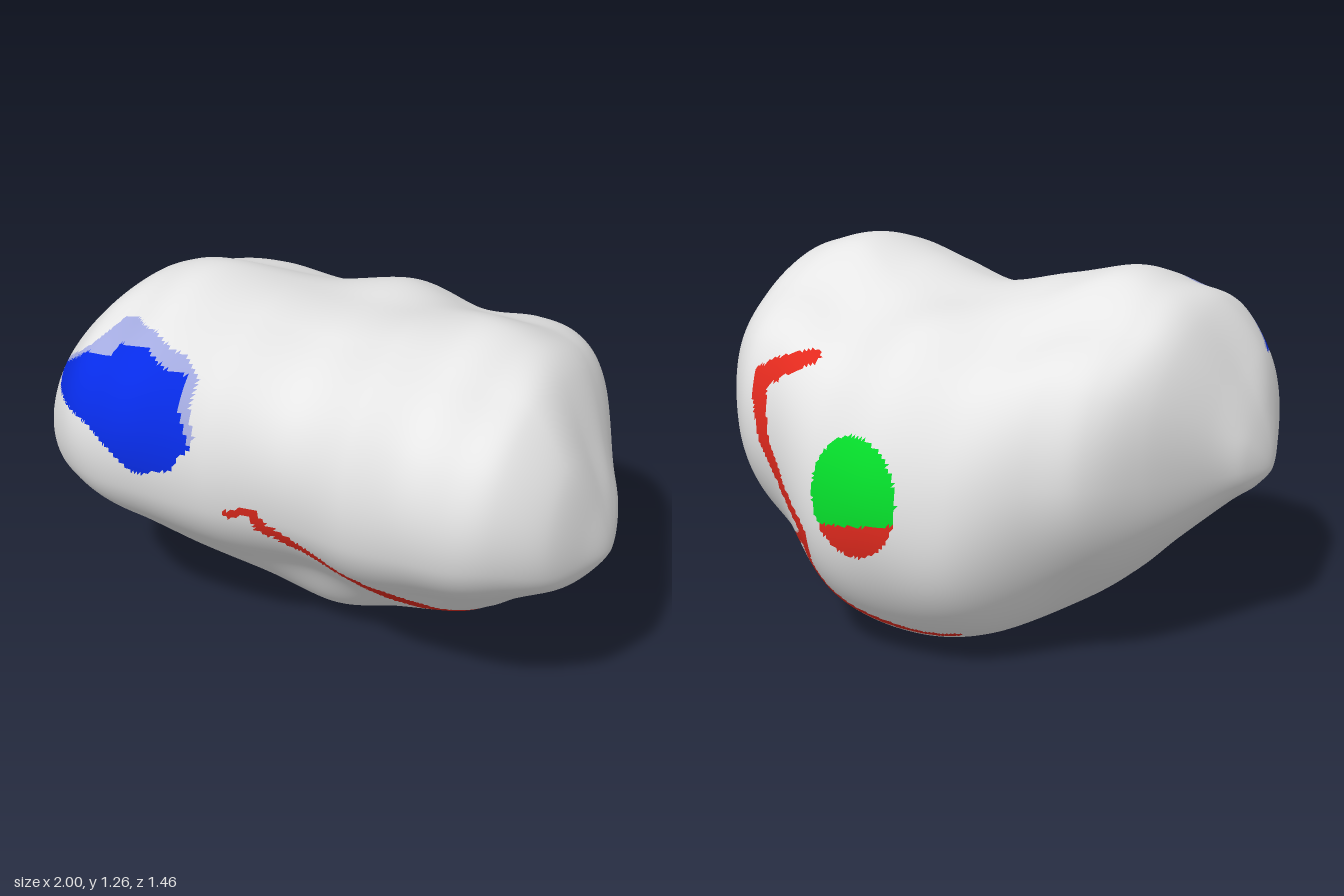
import * as THREE from 'three';

// Half of the body as cross-sections along x: [x, centre z, centre y, 12 radii].
// Radii run from the front (+z) over the top, the back and the bottom.
const SECTIONS = [
  [0, -0.08, 0.62, 0.655, 0.71, 0.61, 0.535, 0.57, 0.62, 0.65, 0.66, 0.65, 0.61, 0.59, 0.545],
  [0.25, -0.05, 0.65, 0.70, 0.735, 0.63, 0.535, 0.505, 0.57, 0.62, 0.66, 0.64, 0.58, 0.55, 0.57],
  [0.48, 0.08, 0.70, 0.63, 0.68, 0.60, 0.56, 0.515, 0.615, 0.63, 0.61, 0.58, 0.535, 0.48, 0.50],
  [0.64, 0.10, 0.70, 0.60, 0.645, 0.56, 0.53, 0.51, 0.585, 0.575, 0.52, 0.46, 0.42, 0.41, 0.46],
  [0.77, 0.12, 0.70, 0.53, 0.58, 0.51, 0.45, 0.44, 0.46, 0.42, 0.38, 0.33, 0.29, 0.31, 0.39],
  [0.9, 0.20, 0.65, 0.32, 0.38, 0.375, 0.29, 0.28, 0.27, 0.23, 0.19, 0.15, 0.13, 0.15, 0.22],
  [0.97, 0.22, 0.65, 0.15, 0.16, 0.15, 0.13, 0.13, 0.14, 0.13, 0.11, 0.09, 0.08, 0.09, 0.12],
  [1, 0.23, 0.63, 0, 0, 0, 0, 0, 0, 0, 0, 0, 0, 0, 0],
];
const LAST = SECTIONS.length - 1, STEPS = 18, AROUND = 270;

// Painted bands as paths of [x, y, z, half width]
const BANDS = [
  [[-0.21, 0.66, 0.56, 0.010], [-0.12, 0.67, 0.57, 0.018], [-0.08, 0.6, 0.56, 0.022], [0, 0.55, 0.54, 0.022],
    [0.1, 0.51, 0.53, 0.022], [0.23, 0.47, 0.51, 0.026], [0.29, 0.4, 0.47, 0.047], [0.4, 0.32, 0.4, 0.05],
    [0.53, 0.225, 0.2, 0.05], [0.55, 0.19, 0.03, 0.046], [0.54, 0.2, -0.1, 0.044], [0.48, 0.265, -0.3, 0.04],
    [0.455, 0.3, -0.38, 0.034], [0.44, 0.33, -0.43, 0.022], [0.31, 0.43, -0.63, 0.02]],
  [[0.36, 0.98, -0.45, 0.032], [0.46, 0.96, -0.49, 0.036], [0.54, 0.92, -0.51, 0.038], [0.54, 0.85, -0.53, 0.034],
    [0.51, 0.7, -0.535, 0.03], [0.4, 0.55, -0.57, 0.03], [0.31, 0.46, -0.635, 0.03]],
  [[0.3, 0.45, -0.64, 0.03], [0.31, 0.33, -0.595, 0.027], [0.25, 0.23, -0.54, 0.027], [0.17, 0.175, -0.525, 0.027],
    [0.08, 0.14, -0.505, 0.027], [-0.06, 0.11, -0.465, 0.025], [-0.18, 0.1, -0.44, 0.025]],
];

// Patch outlines seen from the front, as x, y pairs
const BLUE = [[-0.9, 0.96], [-0.8, 1.035], [-0.73, 1.09], [-0.63, 1.1], [-0.61, 1.135], [-0.5, 1.15], [-0.42, 1.11],
  [-0.34, 1.09], [-0.34, 1], [-0.29, 0.88], [-0.33, 0.85], [-0.35, 0.8], [-0.42, 0.79], [-0.44, 0.775], [-0.48, 0.785],
  [-0.55, 0.84], [-0.65, 0.905], [-0.75, 0.93], [-0.86, 0.945]];
const FRINGE = [[-0.9, 0.97], [-0.8, 1.05], [-0.72, 1.11], [-0.65, 1.18], [-0.5, 1.18], [-0.42, 1.15], [-0.36, 1.13],
  [-0.31, 1.08], [-0.31, 1], [-0.285, 0.92], [-0.3, 0.87], [-0.5, 0.95]];

// Smooth curve through four values
function spline(a, b, c, d, t) {
  return b + 0.5 * t * (c - a + t * (2 * a - 5 * b + 4 * c - d + t * (3 * (b - c) + d - a)));
}

// Mirrored section number i; past either end the radii turn negative, which rounds the tips
function section(i) {
  const k = Math.abs(i), past = k > LAST;
  const [x, z, y, ...radii] = SECTIONS[past ? 2 * LAST - k : k];
  return [i < 0 ? -x : x, z, y, ...radii.map((r) => (past ? -r : r))];
}

function inside(outline, x, y) {
  let hit = false;
  outline.forEach(([ax, ay], i) => {
    const [bx, by] = outline[(i + 1) % outline.length];
    if ((ay > y) !== (by > y) && x < ax + (bx - ax) * (y - ay) / (by - ay)) hit = !hit;
  });
  return hit;
}

function bodyPoints() {
  const points = [];
  for (let i = 0; i <= 2 * LAST * STEPS; i++) {
    const u = i / STEPS - LAST, k = Math.min(Math.floor(u), LAST - 1);
    const [a, b, c, d] = [k - 1, k, k + 1, k + 2].map(section);
    const s = b.map((_, n) => spline(a[n], b[n], c[n], d[n], u - k));
    const radii = s.slice(3);
    for (let j = 0; j < AROUND; j++) {
      const v = 12 * j / AROUND, m = Math.floor(v);
      const r = spline(radii[(m + 11) % 12], radii[m], radii[(m + 1) % 12], radii[(m + 2) % 12], v - m);
      const angle = v * Math.PI / 6;
      points.push(new THREE.Vector3(s[0], s[2] + r * Math.sin(angle), s[1] + r * Math.cos(angle)));
    }
  }
  return points;
}

// Close dots along each band, moved to the nearest point of the body
function bandDots(points) {
  const dots = [];
  for (const path of BANDS) {
    for (let i = 0; i < path.length - 1; i++) {
      for (let n = 0; n < 10; n++) {
        const [x, y, z, w] = path[i].map((value, q) => THREE.MathUtils.lerp(value, path[i + 1][q], n / 10));
        const target = new THREE.Vector3(x, y, z);
        let best = points[0], least = Infinity;
        for (const p of points) {
          const d = p.distanceToSquared(target);
          if (d < least) { least = d; best = p; }
        }
        dots.push({ at: best, w2: w * w });
      }
    }
  }
  return dots;
}

// Colour name for one spot on the body
function paintAt(p, dots) {
  if (p.z > 0.42 && inside(BLUE, p.x, p.y)) return 'bluePatch';
  if (p.z > 0.42 && inside(FRINGE, p.x, p.y)) return 'paleFringe';
  if (p.z < -0.5 && ((p.x - 0.065) / 0.168) ** 2 + ((p.y - 0.632) / 0.2) ** 2 < 1) {
    return p.y > 0.555 - 0.18 * p.x ? 'greenPatch' : 'redBands';
  }
  return dots.some((d) => d.at.distanceToSquared(p) < d.w2) ? 'redBands' : 'body';
}

export function createModel() {
  const colours = { body: 0xe6e6e6, redBands: 0xe22a1e, bluePatch: 0x082ef0, paleFringe: 0xa4abe0, greenPatch: 0x06e02c };
  const names = { body: 'light grey', redBands: 'red', bluePatch: 'blue', paleFringe: 'pale blue', greenPatch: 'green' };
  const points = bodyPoints();
  const dots = bandDots(points);

  // Sort the faces by colour
  const faces = Object.fromEntries(Object.keys(colours).map((key) => [key, []]));
  const all = [], centre = new THREE.Vector3();
  const addFace = (...abc) => {
    centre.set(0, 0, 0);
    abc.forEach((i) => centre.addScaledVector(points[i], 1 / 3));
    faces[paintAt(centre, dots)].push(...abc);
    all.push(...abc);
  };
  const rows = 2 * LAST * STEPS;
  for (let i = 0; i < rows; i++) {
    for (let j = 0; j < AROUND; j++) {
      const a = i * AROUND + j, b = i * AROUND + (j + 1) % AROUND;
      if (i < rows - 1) addFace(a, a + AROUND, b + AROUND);
      else addFace(a, a + AROUND, b);
      if (i > 0 && i < rows - 1) addFace(a, b + AROUND, b);
    }
  }

  // Shared smooth normals, one mesh for each colour
  const whole = new THREE.BufferGeometry().setFromPoints(points);
  whole.setIndex(all);
  whole.computeVertexNormals();
  const group = new THREE.Group();
  group.name = 'twoLobedBody';
  for (const key of Object.keys(colours)) {
    const geometry = new THREE.BufferGeometry();
    geometry.setAttribute('position', whole.getAttribute('position'));
    geometry.setAttribute('normal', whole.getAttribute('normal'));
    geometry.setIndex(faces[key]);
    const material = new THREE.MeshStandardMaterial({ color: colours[key] });
    material.name = names[key];
    const mesh = new THREE.Mesh(geometry, material);
    mesh.name = key;
    group.add(mesh);
  }
  return group;
}
